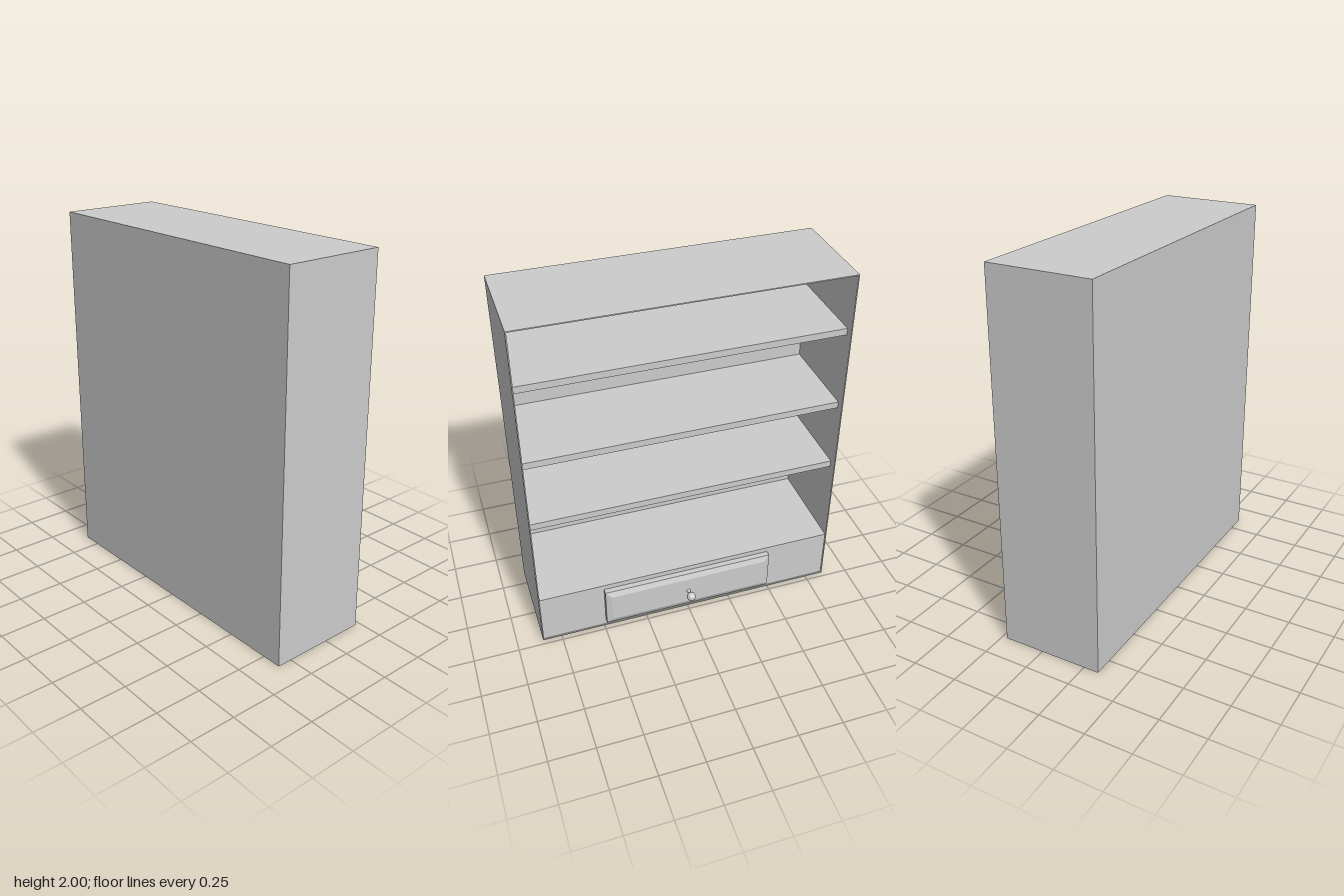
import * as THREE from 'three';

const material = new THREE.MeshStandardMaterial({ color: 0xcccccc });

export function createModel() {
  const group = new THREE.Group();
  const W = 1.715, H = 2, zOpen = -0.222, zPanel = 0.333, T = 0.006;
  const depth = zPanel - zOpen, zMid = (zPanel + zOpen) / 2;

  const add = (name, geometry, x, y, z) => {
    const mesh = new THREE.Mesh(geometry, material);
    mesh.name = name;
    mesh.position.set(x, y, z);
    group.add(mesh);
    return mesh;
  };
  const box = (name, w, h, d, x, y, z) => add(name, new THREE.BoxGeometry(w, h, d), x, y, z);

  // Thin-walled carcass, open towards -z
  for (const s of [-1, 1]) box(s > 0 ? 'leftSide' : 'rightSide', T, H, depth, s * (W - T) / 2, H / 2, zMid);
  box('topPanel', W - 2 * T, T, depth, 0, H - T / 2, zMid);
  box('bottomPanel', W - 2 * T, T, depth, 0, T / 2, zMid);
  box('closedPanel', W - 2 * T, H - 2 * T, T, 0, H / 2, zPanel - T / 2);

  // Shelves, set back a little from the opening
  const inner = W - 2 * T, zBack = zPanel - T, zShelf = -0.178;
  [0.83, 1.23, 1.68].forEach((top, i) =>
    box(`shelf${i + 1}`, inner, 0.038, zBack - zShelf, 0, top - 0.019, (zBack + zShelf) / 2));

  // Solid base that holds the drawer
  const zBase = zOpen + 0.006;
  box('drawerBase', inner, 0.31 - T, zBack - zBase, 0, (0.31 + T) / 2, (zBack + zBase) / 2);

  // Drawer front: a slab whose outer rim is bevelled
  const dw = 0.976, dh = 0.235, dd = 0.044, inset = 0.032;
  const slab = new THREE.BoxGeometry(dw, dh, dd, 1, 1, 2);
  const p = slab.attributes.position;
  for (let i = 0; i < p.count; i++) {
    const x = p.getX(i), y = p.getY(i), z = p.getZ(i);
    if (z < -0.01) p.setXY(i, x - Math.sign(x) * inset, y - Math.sign(y) * inset);
    else if (z < 0.01) p.setZ(i, -dd / 2 + 0.013);
  }
  const drawer = slab.toNonIndexed();
  drawer.computeVertexNormals();
  add('drawerFront', drawer, 0.002, 0.163, zBase - dd / 2);

  // Turned knob: flared stem and ball
  const profile = [[0.012, 0], [0.011, 0.004], [0.007, 0.012], [0.008, 0.026]];
  const stem = new THREE.LatheGeometry(profile.map(([r, y]) => new THREE.Vector2(r, y)), 20);
  add('knobStem', stem, 0.008, 0.16, -0.26).rotation.x = -Math.PI / 2;
  add('knobBall', new THREE.SphereGeometry(0.025, 24, 16), 0.008, 0.16, -0.308);

  return group;
}
